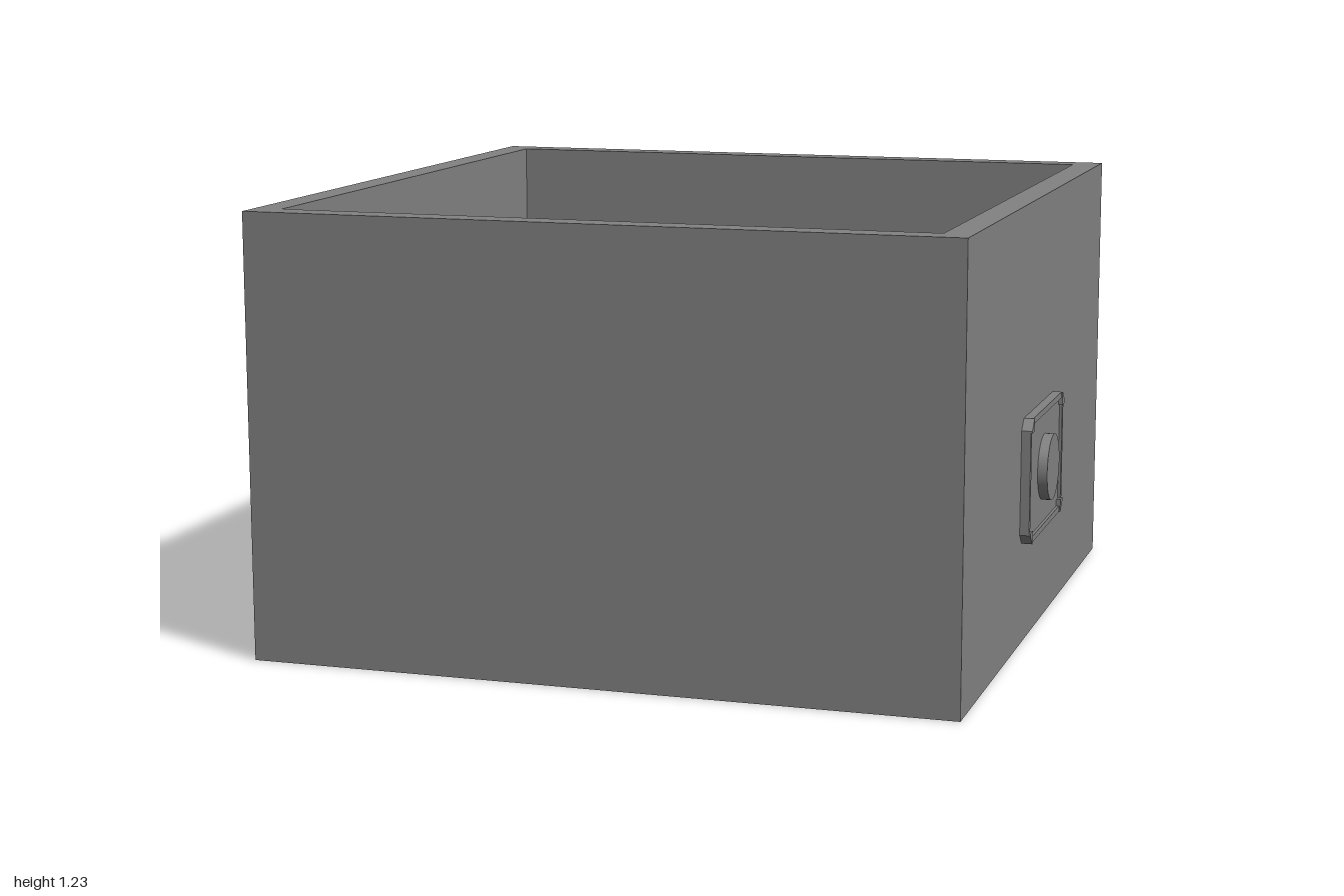
import * as THREE from 'three';

const material = new THREE.MeshStandardMaterial({ color: 0x828282, flatShading: true });
const smooth = new THREE.MeshStandardMaterial({ color: 0x828282 });

function addMesh(parent, name, geometry, mat = material) {
  const mesh = new THREE.Mesh(geometry, mat);
  mesh.name = name;
  parent.add(mesh);
  return mesh;
}

const polygon = (points) => points.map(([x, y]) => new THREE.Vector2(x, y));

// Rectangle outline with chamfered corners
function chamferedRect(w, h, c) {
  return polygon([
    [-w + c, -h], [w - c, -h], [w, -h + c], [w, h - c],
    [w - c, h], [-w + c, h], [-w, h - c], [-w, -h + c],
  ]);
}

const rect = (w, h) => polygon([[-w, -h], [w, -h], [w, h], [-w, h]]);

function extrude(outline, depth, hole) {
  const shape = new THREE.Shape(outline);
  if (hole) shape.holes.push(new THREE.Path(hole));
  return new THREE.ExtrudeGeometry(shape, { depth, bevelEnabled: false });
}

export function createModel() {
  const model = new THREE.Group();
  const centreX = -0.0225, halfX = 0.9775, halfZ = 0.988, height = 1.226;
  const wall = 0.078, floorY = 0.036;

  // Open box: four walls and a thin floor
  const box = new THREE.Group();
  box.name = 'box';
  box.position.x = centreX;
  model.add(box);
  const walls = extrude(rect(halfX, halfZ), height, rect(halfX - wall, halfZ - wall));
  walls.rotateX(-Math.PI / 2);
  addMesh(box, 'walls', walls);
  const floor = new THREE.BoxGeometry(2 * (halfX - wall), floorY, 2 * (halfZ - wall));
  addMesh(box, 'floor', floor).position.y = floorY / 2;

  // Latch on the side wall, built facing +z and turned to face +x
  const latch = new THREE.Group();
  latch.name = 'latch';
  latch.position.set(centreX + halfX, 0.463, 0);
  latch.rotation.y = Math.PI / 2;
  model.add(latch);
  const w = 0.247, h = 0.176, c = 0.03, rim = 0.017, corner = 0.036;
  addMesh(latch, 'latchPlate', extrude(chamferedRect(w - 0.005, h - 0.005, c), 0.018));
  addMesh(latch, 'latchRim', extrude(chamferedRect(w, h, c), 0.026, rect(w - rim, h - rim)));

  // Raised corner pieces of the rim
  for (const sx of [-1, 1]) {
    for (const sy of [-1, 1]) {
      const outline = polygon([
        [w - corner, h - corner], [w, h - corner], [w, h - c], [w - c, h], [w - corner, h],
      ].map(([x, y]) => [sx * x, sy * y]));
      addMesh(latch, 'rimCorner', extrude(outline, 0.03));
    }
  }

  // Round button
  const button = new THREE.CylinderGeometry(0.094, 0.094, 0.045, 48);
  button.rotateX(Math.PI / 2);
  addMesh(latch, 'button', button, smooth).position.z = 0.0225;

  return model;
}
